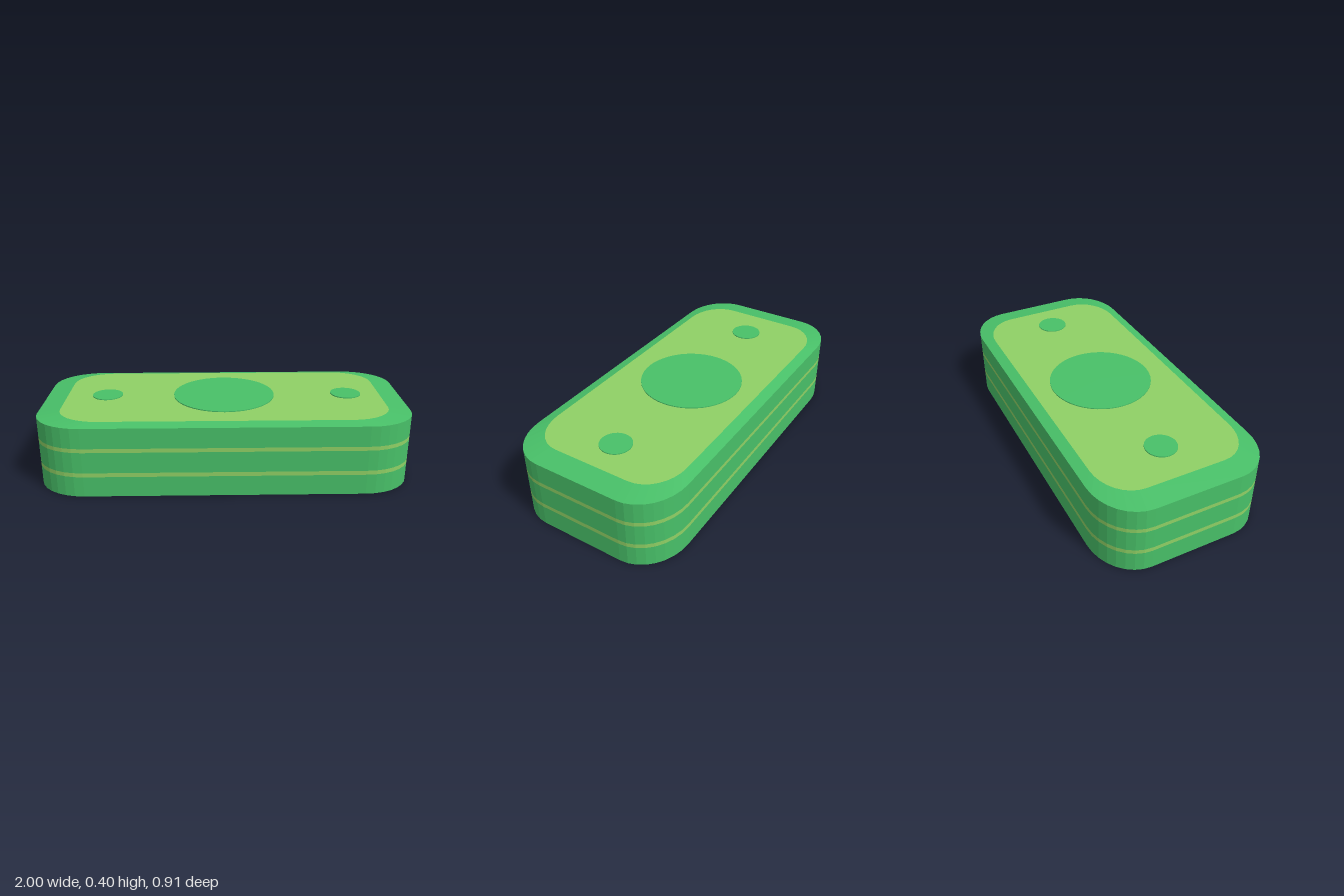
import * as THREE from 'three';

const GREEN = 0x48c068, LIME = 0x8fd065;
const SEG = 8; // facets per rounded corner

// Rounded-rectangle outline, counter-clockwise seen from above
function outline(hx, hz, rx, rz) {
  const pts = [];
  [[1, 1], [-1, 1], [-1, -1], [1, -1]].forEach(([sx, sz], q) => {
    for (let i = 0; i <= SEG; i++) {
      const a = (q + i / SEG) * Math.PI / 2;
      pts.push([sx * (hx - rx) + rx * Math.cos(a), sz * (hz - rz) + rz * Math.sin(a)]);
    }
  });
  return pts;
}

// Band of faces joining a lower outline to an upper one
function band(lower, y0, upper, y1) {
  const pos = [], n = lower.length;
  for (let i = 0; i < n; i++) {
    const j = (i + 1) % n;
    const a = [lower[i][0], y0, lower[i][1]], b = [lower[j][0], y0, lower[j][1]];
    const c = [upper[j][0], y1, upper[j][1]], d = [upper[i][0], y1, upper[i][1]];
    pos.push(...a, ...d, ...c, ...a, ...c, ...b);
  }
  return toGeometry(pos);
}

// Flat cap, facing up or down
function cap(ring, y, up) {
  const pos = [], n = ring.length;
  for (let i = 0; i < n; i++) {
    const p = ring[i], q = ring[(i + 1) % n];
    const [s, t] = up ? [q, p] : [p, q];
    pos.push(0, y, 0, s[0], y, s[1], t[0], y, t[1]);
  }
  return toGeometry(pos);
}

function toGeometry(pos) {
  const g = new THREE.BufferGeometry();
  g.setAttribute('position', new THREE.Float32BufferAttribute(pos, 3));
  g.computeVertexNormals();
  return g;
}

export function createModel() {
  const group = new THREE.Group();
  const green = new THREE.MeshStandardMaterial({ color: GREEN, flatShading: true });
  const lime = new THREE.MeshStandardMaterial({ color: LIME, flatShading: true });
  const add = (name, geometry, material) => {
    const mesh = new THREE.Mesh(geometry, material);
    mesh.name = name;
    group.add(mesh);
    return mesh;
  };

  const outer = outline(1, 0.453, 0.26, 0.22);
  const inner = outline(0.88, 0.395, 0.22, 0.18);

  // Side wall with two flush stripes
  const levels = [0, 0.112, 0.135, 0.25, 0.272, 0.384];
  for (let i = 0; i < levels.length - 1; i++) {
    const stripe = i % 2 === 1;
    add(stripe ? 'sideStripe' : 'sideWall',
      band(outer, levels[i], outer, levels[i + 1]), stripe ? lime : green);
  }

  // Base, sloping rim and top panel
  add('base', cap(outer, 0, false), green);
  add('bevelRim', band(outer, 0.384, inner, 0.398), green);
  add('topPanel', cap(inner, 0.398, true), lime);

  // Raised discs on the panel
  for (const [name, x, z, r] of [
    ['centreDisc', 0, -0.008, 0.282],
    ['rightDisc', -0.655, -0.005, 0.084],
    ['leftDisc', 0.69, -0.005, 0.084],
  ]) {
    const h = 0.012;
    add(name, new THREE.CylinderGeometry(r, r, h, 48), green).position.set(x, 0.403 - h / 2, z);
  }
  return group;
}
